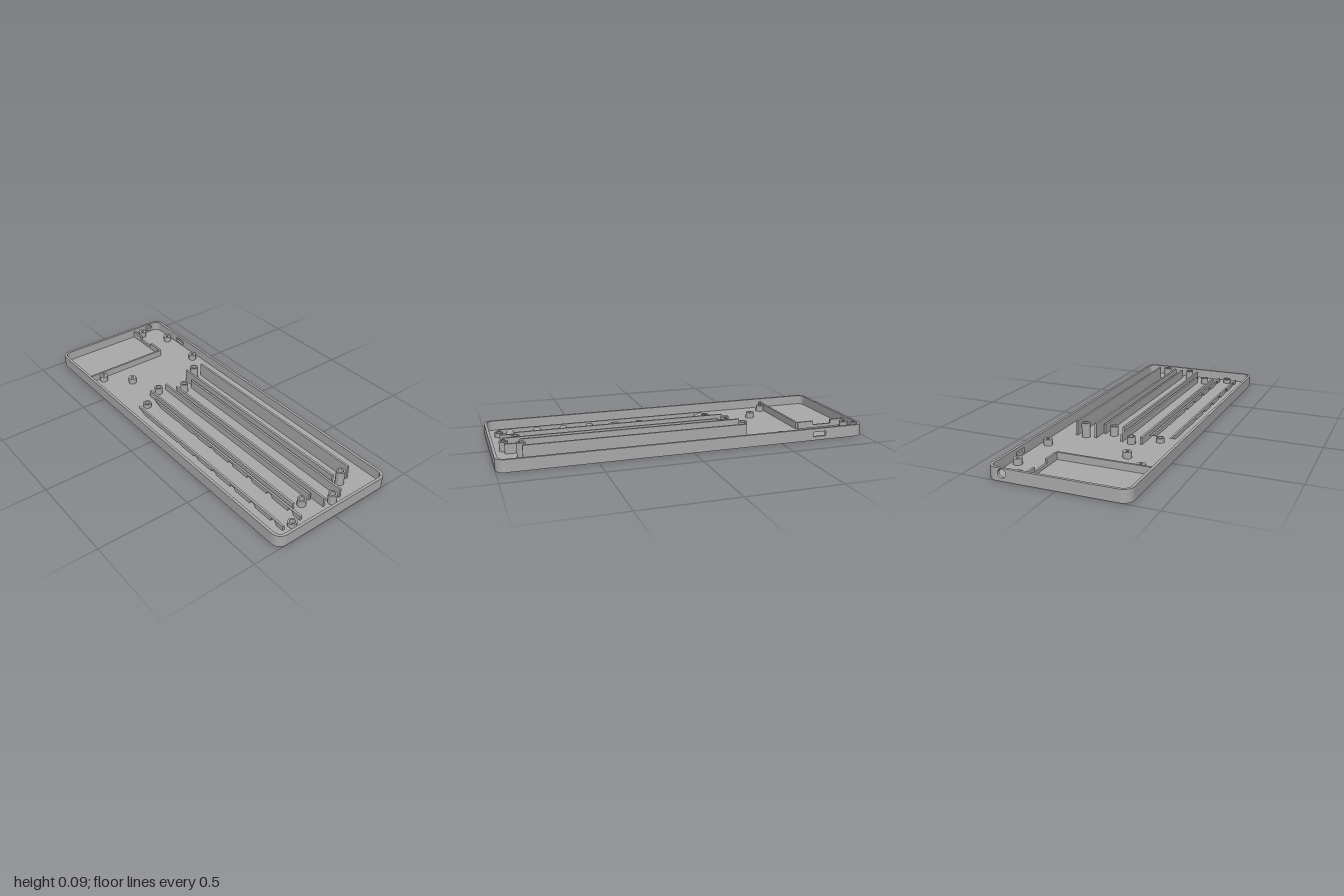
import * as THREE from 'three';
import { toCreasedNormals } from 'three/addons/utils/BufferGeometryUtils.js';

const W = 1, D = 0.36, H = 0.065, R = 0.05, T = 0.015, FLOOR = 0.012;

export function createModel() {
  const model = new THREE.Group();
  const grey = new THREE.MeshStandardMaterial({ color: 0xaaaaaa });
  grey.name = 'plain grey';

  const add = (name, geometry, x = 0, y = 0, z = 0, parent = model) => {
    const mesh = new THREE.Mesh(geometry, grey);
    mesh.name = name;
    mesh.position.set(x, y, z);
    parent.add(mesh);
    return mesh;
  };
  const extrude = (shape, depth) => toCreasedNormals(
    new THREE.ExtrudeGeometry(shape, { depth, bevelEnabled: false, curveSegments: 12 }), 0.6);
  const rect = (x0, y0, x1, y1, Type = THREE.Shape) => {
    const s = new Type();
    s.moveTo(x0, y0);
    s.lineTo(x1, y0);
    s.lineTo(x1, y1);
    s.lineTo(x0, y1);
    s.closePath();
    return s;
  };
  const circle = (x, y, r, Type = THREE.Path) => {
    const s = new Type();
    s.absarc(x, y, r, 0, Math.PI * 2);
    return s;
  };

  // Floor plate with rounded corners
  const plate = new THREE.Shape();
  plate.absarc(W - R, D - R, R, 0, Math.PI / 2);
  plate.absarc(-W + R, D - R, R, Math.PI / 2, Math.PI);
  plate.absarc(-W + R, -D + R, R, Math.PI, Math.PI * 1.5);
  plate.absarc(W - R, -D + R, R, Math.PI * 1.5, Math.PI * 2);
  add('floor', extrude(plate, FLOOR).rotateX(-Math.PI / 2));

  // Straight walls, with a port slot at the back and a round port at the right end
  const longWall = () => rect(-W + R, FLOOR, W - R, H);
  const endWall = () => rect(-D + R, FLOOR, D - R, H);
  add('frontWall', extrude(longWall(), T), 0, 0, D - T);
  const back = longWall();
  back.holes.push(rect(-0.765, 0.02, -0.69, 0.046, THREE.Path));
  add('backWall', extrude(back, T), 0, 0, -D);
  add('leftWall', extrude(endWall(), T).rotateY(Math.PI / 2), W - T);
  const right = endWall();
  right.holes.push(circle(0.276, 0.039, 0.022));
  add('rightWall', extrude(right, T).rotateY(Math.PI / 2), -W);

  // Rounded wall corners
  for (let i = 0; i < 4; i++) {
    const a = i * Math.PI / 2;
    const corner = new THREE.Shape();
    corner.absarc(0, 0, R, a, a + Math.PI / 2, false);
    corner.absarc(0, 0, R - T, a + Math.PI / 2, a, true);
    corner.closePath();
    const sx = i === 0 || i === 3 ? 1 : -1, sz = i < 2 ? -1 : 1;
    add('wallCorner', extrude(corner, H - FLOOR).rotateX(-Math.PI / 2),
      sx * (W - R), FLOOR, sz * (D - R));
  }

  // Hollow screw post standing on the floor
  const post = (name, x, z, top, r, hole, parent) => {
    const ring = circle(0, 0, r, THREE.Shape);
    ring.holes.push(circle(0, 0, hole));
    add(name, extrude(ring, top - FLOOR).rotateX(-Math.PI / 2), x, FLOOR, z, parent);
  };

  // Stepped rows: two rails and a screw post at each end
  const rows = [
    [-0.178, 0.09, -0.349], [-0.05, 0.064, -0.274],
    [0.081, 0.05, -0.349], [0.211, 0.036, -0.274],
  ];
  const length = 1.205, railT = 0.012;
  rows.forEach(([z, top, x], row) => {
    const group = new THREE.Group();
    group.name = 'railRow' + (row + 1);
    model.add(group);
    for (const side of [-1, 1]) {
      const rail = new THREE.Shape();
      rail.moveTo(0, FLOOR);
      // Arched openings along the lowest row
      if (row === 3) for (let k = 0; k < 8; k++)
        rail.absarc(0.09 + k * 0.15, FLOOR, 0.02, Math.PI, 0, true);
      rail.lineTo(length, FLOOR);
      rail.lineTo(length, top);
      rail.lineTo(0, top);
      rail.closePath();
      add('rail', extrude(rail, railT), x, 0, z + side * 0.0545 - railT / 2, group);
    }
    for (const px of [x, x + length]) post('railPost', px, z, top, 0.023, 0.014, group);
  });

  // Circuit board posts
  for (const [x, z] of [[-0.814, -0.307], [-0.961, -0.211], [-0.533, -0.302],
    [-0.536, 0.142], [-0.659, 0.267]]) post('boardPost', x, z, 0.045, 0.023, 0.008);

  // Compartment divider, with a cable notch in its back side
  const top = 0.05, zd = -0.166, xd = -0.688;
  add('dividerSide', new THREE.BoxGeometry(0.012, top - FLOOR, 0.496),
    xd, (top + FLOOR) / 2, zd + 0.248);
  const divider = rect(-W + T, FLOOR, xd + 0.006, top);
  divider.curves.length = 0;
  divider.moveTo(-W + T, FLOOR);
  divider.lineTo(xd - 0.006, FLOOR);
  divider.lineTo(xd - 0.006, top);
  divider.lineTo(-0.79, top);
  divider.lineTo(-0.79, 0.028);
  divider.lineTo(-0.9, 0.028);
  divider.lineTo(-0.9, top);
  divider.lineTo(-W + T, top);
  divider.closePath();
  add('dividerBack', extrude(divider, 0.012), 0, 0, zd - 0.006);

  return model;
}
